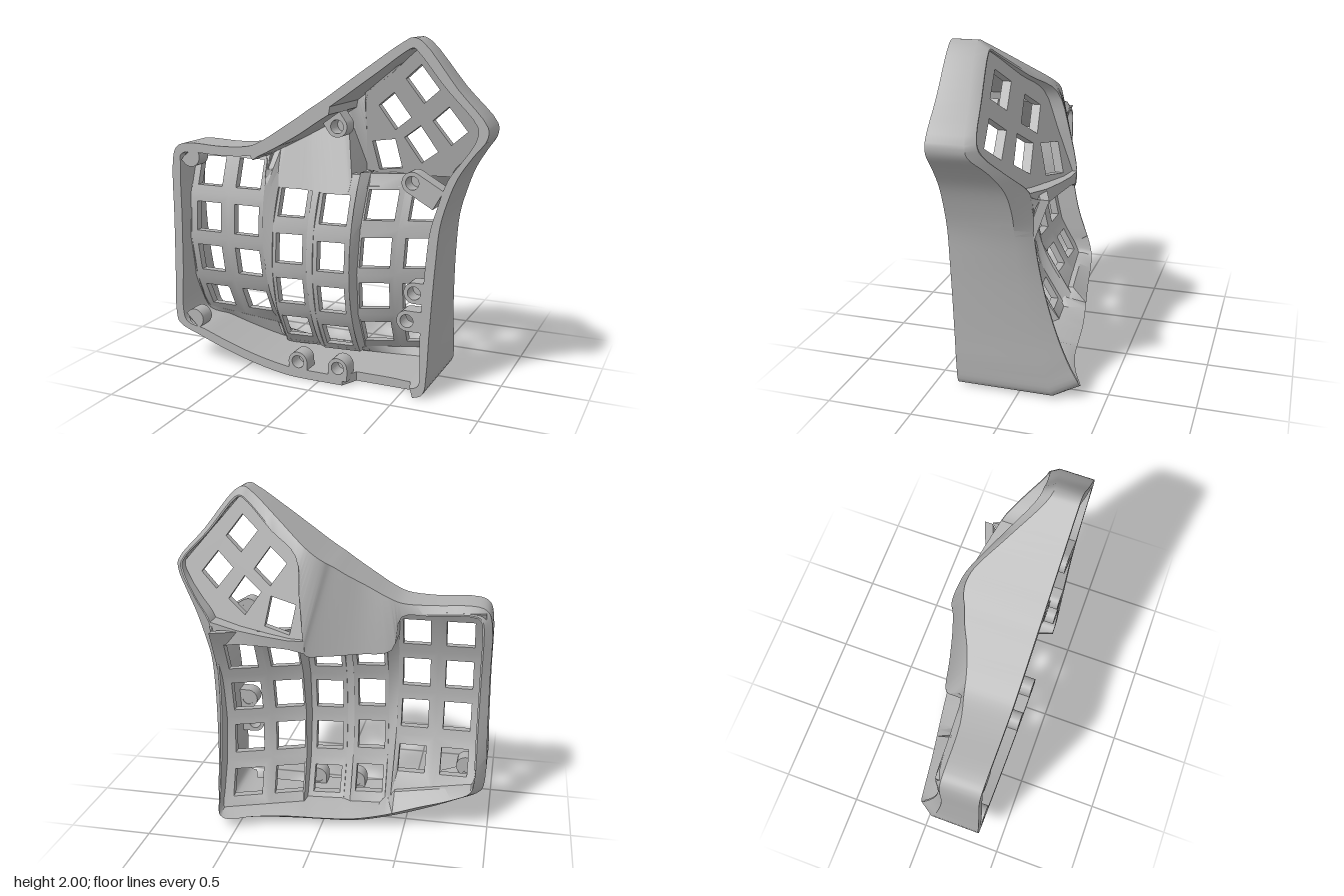
import * as THREE from 'three';
import { mergeGeometries, toCreasedNormals } from 'three/addons/utils/BufferGeometryUtils.js';

const FRONT = 0.36, PLATE = 0.05;

// Column groups of the key well: x edges and key centres of each column, arc position, depth and tilt
const lowRows = [0.225, 0.48, 0.75, 1.025], midRows = lowRows.map((y) => y - 0.025);
const groups = [
  { name: 'outerColumns', cols: [[-0.92, -0.645, -0.775], [-0.645, -0.405, -0.515]], lean: 0, z: 0.22, tilt: 0, xm: -0.65, yc: 0.84, rows: [0.37, 0.635, 0.9, 1.175], top: 1.325 },
  { name: 'thirdColumn', cols: [[-0.35, -0.135, -0.245]], lean: 0.025, z: 0.2, tilt: 0.1, xm: -0.24, yc: 0.72, rows: lowRows, top: 1.21 },
  { name: 'fourthColumn', cols: [[-0.09, 0.135, 0.02]], lean: 0.025, z: 0.19, tilt: 0.1, xm: 0.03, yc: 0.7, rows: midRows, top: 1.2 },
  { name: 'innerColumns', cols: [[0.16, 0.365, 0.255], [0.365, 0.64, 0.495]], lean: 0.055, z: 0.035, tilt: 0.38, xm: 0.38, yc: 0.72, rows: lowRows, top: 1.2 },
];
const halfHeights = [0.074, 0.085, 0.09, 0.086];

const groupZ = (g, x, y) => g.z - g.tilt * (x - g.xm) - 1 + Math.sqrt(1 - (y - g.yc) ** 2);
const wellZ = (x, y) => groupZ(groups[x < -0.39 ? 0 : x < -0.11 ? 1 : x < 0.15 ? 2 : 3], x, y);
const thumbZ = (x, y) => 0.025 + 0.28 * (x - 0.5) + 0.28 * (y - 1.5);
// lower edge of the key opening
const lipY = (x) => (x < -0.41 ? 0.2 + (-0.41 - x) * 0.13 : 0.1 + THREE.MathUtils.clamp((-0.35 - x) / 0.06, 0, 1) * 0.1);
const bottomY = (x) => lipY(x) - 0.02;

// Case stations: outer x, y, shoulder z, then rim x, y, z
const mainStations = [
  [-0.97, 0.30, 0.05, -0.91, 0.33, -0.04], [-0.95, 0.23, 0.03, -0.89, 0.25, -0.06],
  [-0.80, 0.165, 0, -0.78, 0.2, -0.08], [-0.6, 0.095, -0.03, -0.58, 0.145, -0.11],
  [-0.4, 0.04, -0.06, -0.38, 0.09, -0.145], [-0.2, 0.005, -0.09, -0.2, 0.06, -0.175],
  [0, 0, -0.11, 0, 0.055, -0.2], [0.2, 0, -0.13, 0.2, 0.06, -0.225],
  [0.4, 0, -0.16, 0.4, 0.065, -0.28], [0.58, 0, -0.2, 0.56, 0.07, -0.35],
  [0.64, 0.03, -0.2, 0.6, 0.1, -0.35], [0.66, 0.15, -0.17, 0.61, 0.2, -0.3],
  [0.67, 0.35, -0.11, 0.62, 0.37, -0.235], [0.685, 0.6, -0.06, 0.63, 0.6, -0.17],
  [0.7, 0.8, -0.03, 0.64, 0.8, -0.13], [0.72, 1, -0.02, 0.655, 0.98, -0.11],
  [0.755, 1.13, -0.02, 0.665, 1.09, -0.11],
];
const upperStations = [
  [0.81, 1.27, 0, 0.7, 1.24, -0.1], [0.89, 1.39, 0.06, 0.81, 1.36, -0.02],
  [0.965, 1.49, 0.14, 0.92, 1.49, 0.08], [0.965, 1.55, 0.15, 0.93, 1.55, 0.1],
  [0.8, 1.74, 0.18, 0.765, 1.735, 0.13], [0.61, 1.975, 0.21, 0.59, 1.945, 0.15],
  [0.555, 2, 0.21, 0.557, 1.955, 0.15], [0.5, 1.975, 0.19, 0.505, 1.925, 0.13],
  [0.3, 1.84, 0.05, 0.33, 1.79, 0.01], [0.13, 1.72, -0.07, 0.16, 1.67, -0.1],
  [0.06, 1.67, -0.09, 0.13, 1.45, -0.16], [0, 1.63, -0.08, 0.1, 1.19, -0.2],
  [-0.04, 1.605, -0.06, 0.09, 1.11, -0.19], [-0.12, 1.55, -0.03, -0.02, 1.1, -0.15],
  [-0.22, 1.485, 0.02, -0.2, 1.11, -0.1], [-0.34, 1.41, 0.06, -0.39, 1.13, -0.05],
  [-0.43, 1.37, 0.08, -0.43, 1.3, 0.06],
  [-0.6, 1.355, 0.12, -0.6, 1.31, 0.08], [-0.87, 1.36, 0.13, -0.87, 1.31, 0.09],
  [-0.93, 1.33, 0.13, -0.9, 1.28, 0.09], [-0.955, 1.25, 0.13, -0.91, 1.24, 0.09],
  [-0.96, 0.9, 0.13, -0.91, 0.9, 0.09], [-0.965, 0.6, 0.1, -0.91, 0.6, 0.045],
];

// Joins closed cross-sections into a surface
function loft(sections, closed, crease) {
  const n = sections.length, m = sections[0].length, index = [];
  for (let i = 0; i < (closed ? n : n - 1); i++) {
    for (let j = 0; j < m; j++) {
      const i2 = (i + 1) % n, j2 = (j + 1) % m;
      const a = i * m + j, b = i2 * m + j, c = i2 * m + j2, d = i * m + j2;
      index.push(a, d, c, a, c, b);
    }
  }
  const geo = new THREE.BufferGeometry();
  geo.setAttribute('position', new THREE.Float32BufferAttribute(sections.flat(2), 3));
  geo.setIndex(index);
  return toCreasedNormals(geo, crease);
}

// Plate with holes, extruded along z and laid on a height rule
function plateOn(outline, holes, heightAt) {
  const toPoints = (list) => list.map(([x, y]) => new THREE.Vector2(x, y));
  const shape = new THREE.Shape(toPoints(outline));
  holes.forEach((h) => shape.holes.push(new THREE.Path(toPoints(h))));
  const geo = new THREE.ExtrudeGeometry(shape, { depth: PLATE, bevelEnabled: false });
  const p = geo.attributes.position;
  for (let i = 0; i < p.count; i++) p.setZ(i, p.getZ(i) + heightAt(p.getX(i), p.getY(i)));
  geo.computeVertexNormals();
  return geo;
}

function caseShell() {
  const stations = [...mainStations, ...upperStations], n = stations.length, steps = 4;
  const curve = (k) => new THREE.CatmullRomCurve3(stations.map((s) => new THREE.Vector3(s[k], s[k + 1], s[k + 2])), true);
  const outer = curve(0), rim = curve(3), sections = [];
  for (let i = 0; i < n * steps; i++) {
    const o = outer.getPoint(i / (n * steps)), r = rim.getPoint(i / (n * steps)), s = i / steps;
    const onThumb = s >= 17 && s < 28;
    const dir = new THREE.Vector2(r.x - o.x, r.y - o.y).normalize();
    // lip of the opening: slopes down to the keys along the bottom, a narrow flat edge elsewhere
    let lip = [r.x + dir.x * 0.01, r.y + dir.y * 0.01, r.z];
    if (s <= 10) {
      const y = Math.max(r.y + 0.01, lipY(r.x));
      lip = [r.x, y, Math.max(r.z, wellZ(r.x, y) - 0.035)];
    }
    const wz = (onThumb ? thumbZ(r.x, r.y) : wellZ(lip[0], lip[1])) + PLATE;
    // the wall is thicker under the sloping sheet beside the thumb keys
    const wall = s > 27 && s < 33 ? 0.09 : 0.055;
    const ix = o.x + dir.x * wall, iy = o.y + dir.y * wall;
    // cable notch in the bottom wall
    const front = o.y < 0.01 && o.x > 0.19 && o.x < 0.55 ? 0.26 : FRONT;
    const oy = Math.max(0, o.y);
    sections.push([[o.x, oy, front], [o.x, oy, o.z], [r.x, r.y, r.z], lip, [lip[0], lip[1], wz],
      [ix, iy, Math.min(o.z + 0.05, FRONT - 0.05)], [ix, iy, front]]);
  }
  return loft(sections, true, 0.62);
}

function keyColumns(g) {
  const cells = [], xAt = (x, y) => x + g.lean * (y - 0.65);
  for (const [x0, x1, cx] of g.cols) {
    g.rows.forEach((cy, r) => {
      const hi = r === 3 ? g.top : (cy + g.rows[r + 1]) / 2;
      const lo = (x) => (r === 0 ? bottomY(x) : (cy + g.rows[r - 1]) / 2);
      const at = (x, y) => [xAt(x, y), y];
      const w = 0.083, h = halfHeights[r];
      cells.push(plateOn(
        [at(x0, lo(x0)), at(x1, lo(x1)), at(x1, hi), at(x0, hi)],
        [[at(cx - w, cy - h), at(cx - w, cy + h), at(cx + w, cy + h), at(cx + w, cy - h)]],
        (x, y) => groupZ(g, x, y)));
    });
  }
  return toCreasedNormals(mergeGeometries(cells), 0.5);
}

// Web that joins two neighbouring column groups
function columnWeb(a, b) {
  const xa = a.cols.at(-1)[1], xb = b.cols[0][0], sections = [];
  for (let i = 0; i <= 12; i++) {
    const at = (g, x, dz) => {
      const y = THREE.MathUtils.lerp(bottomY(x), 1.21, i / 12), px = x + g.lean * (y - 0.65);
      return [px, y, groupZ(g, px, y) + dz];
    };
    sections.push([at(b, xb, 0), at(a, xa, 0), at(a, xa, PLATE), at(b, xb, PLATE)]);
  }
  return loft(sections, false, 0.5);
}

function thumbPlate() {
  const hole = (cx, cy, w, h, deg) => [[-w, -h], [-w, h], [w, h], [w, -h]].map(([x, y]) => {
    const c = Math.cos(deg * Math.PI / 180), s = Math.sin(deg * Math.PI / 180);
    return [cx + x * c - y * s, cy + x * s + y * c];
  });
  return plateOn(
    [[0.1, 1.17], [0.7, 1.22], [0.81, 1.35], [0.935, 1.53], [0.56, 1.955], [0.15, 1.68]],
    [hole(0.54, 1.74, 0.068, 0.085, 38), hole(0.342, 1.572, 0.07, 0.085, 36), hole(0.262, 1.305, 0.083, 0.088, 10),
      hole(0.695, 1.515, 0.07, 0.085, 39), hole(0.5, 1.39, 0.07, 0.088, 35)],
    thumbZ);
}

// Ridge between the thumb opening and the key well: thumb edge, then well edge
function ridge() {
  const pairs = [
    [[0.1, 1.19, -0.2], [0.09, 1.11, -0.19]], [[0.2, 1.185, -0.19], [0.2, 1.13, -0.185]],
    [[0.35, 1.195, -0.17], [0.35, 1.13, -0.165]], [[0.52, 1.21, -0.14], [0.52, 1.125, -0.14]],
    [[0.7, 1.24, -0.1], [0.665, 1.09, -0.11]],
  ];
  return loft(pairs.map(([t, m]) => [m, t, [t[0], t[1], thumbZ(t[0], t[1]) + PLATE],
    [m[0], m[1], wellZ(m[0], m[1]) + PLATE]]), false, 0.5);
}

// Screw boss with a tab that reaches towards the wall
function screwBoss(angle, reach) {
  const r = 0.06, c = Math.cos(angle), s = Math.sin(angle);
  const shape = new THREE.Shape();
  shape.absarc(0, 0, r, angle + Math.PI / 2, angle + Math.PI * 1.5, false);
  shape.lineTo(s * r + c * reach, -c * r + s * reach);
  shape.lineTo(-s * r + c * reach, c * r + s * reach);
  shape.holes.push(new THREE.Path().absarc(0, 0, 0.038, 0, Math.PI * 2, true));
  return new THREE.ExtrudeGeometry(shape, { depth: 0.1, bevelEnabled: false, curveSegments: 16 });
}

export function createModel() {
  const model = new THREE.Group();
  const grey = new THREE.MeshStandardMaterial({ color: 0xb2b2b2, side: THREE.DoubleSide });
  grey.name = 'grey plastic';
  const add = (name, geo) => {
    const mesh = new THREE.Mesh(geo, grey);
    mesh.name = name;
    model.add(mesh);
    return mesh;
  };
  add('caseShell', caseShell());
  groups.forEach((g, i) => {
    add(g.name, keyColumns(g));
    if (i) add('columnWeb', columnWeb(groups[i - 1], g));
  });
  add('thumbPlate', thumbPlate());
  add('thumbRidge', ridge());
  // x, y, direction of the wall in degrees and reach of the tab
  const bosses = [[-0.83, 1.28, 135, 0.03], [-0.84, 0.27, 225, 0.02], [-0.135, 0.1, 270, 0.075], [0.12, 0.1, 270, 0.075],
    [0.58, 0.615, 0, 0.07], [0.54, 0.45, 0, 0.09], [0.56, 1.23, -30, 0.17], [0.12, 1.51, 125, 0.06]];
  bosses.forEach(([x, y, deg, reach], i) => {
    add('screwBoss', screwBoss(deg * Math.PI / 180, reach)).position.set(x, y, FRONT - 0.1);
    if (i !== 5) add('bossFloor', new THREE.CircleGeometry(0.045, 16)).position.set(x, y, FRONT - 0.095);
  });
  return model;
}
